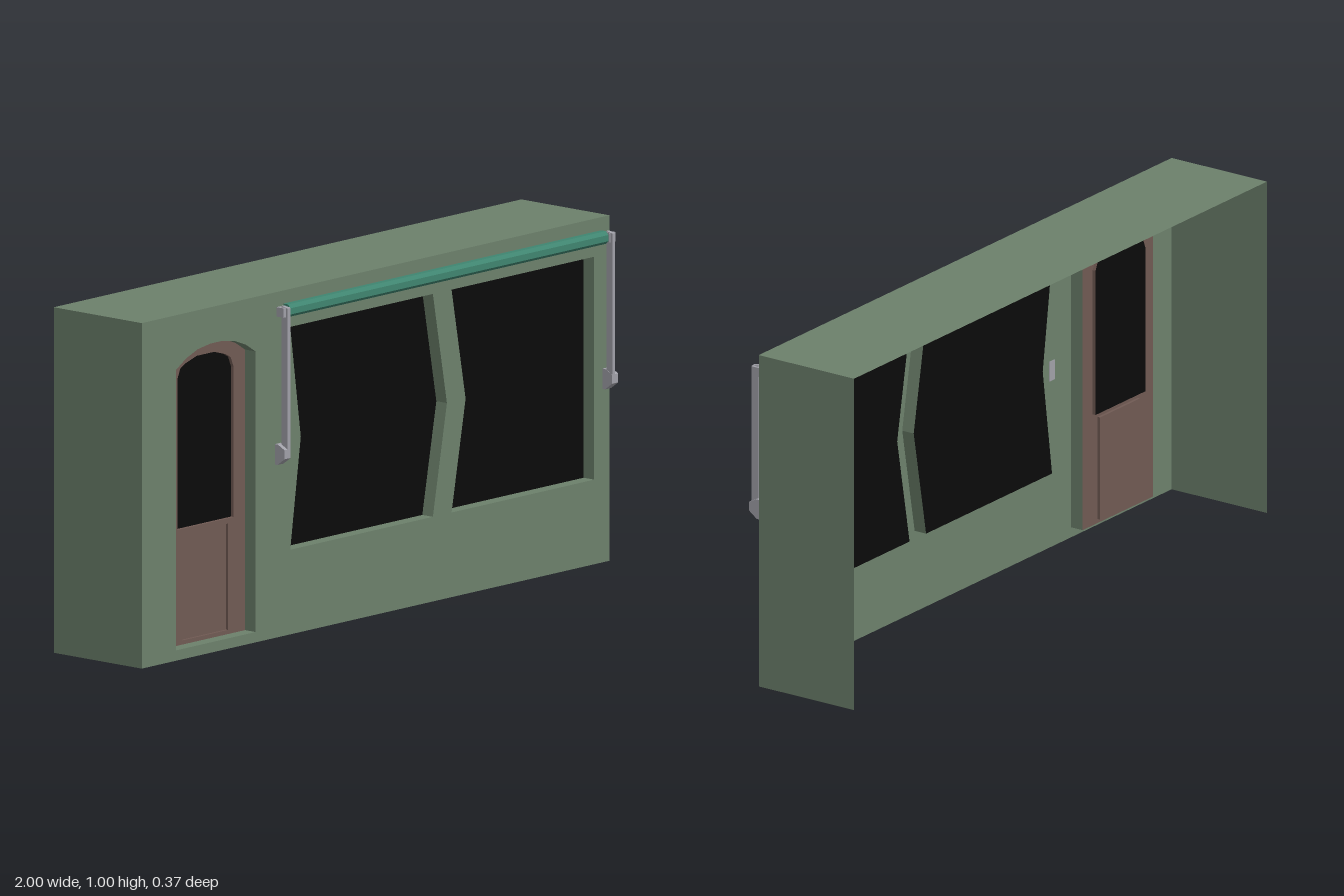
import * as THREE from 'three';

const FRONT = 0.148, BACK = -0.185, RECESS = 0.04;
const mat = (color) => new THREE.MeshStandardMaterial({ color, side: THREE.DoubleSide, flatShading: true });
const shapeOf = (pts) => new THREE.Shape(pts.map(([x, y]) => new THREE.Vector2(x, y)));
const rect = (x0, x1, y0, y1) => [[x0, y0], [x1, y0], [x1, y1], [x0, y1]];

function add(parent, name, geometry, material) {
  const mesh = new THREE.Mesh(geometry, material);
  mesh.name = name;
  parent.add(mesh);
  return mesh;
}

// Flat sheet facing +z, optionally pierced by outlines
function sheet(pts, z, holes = []) {
  const shape = shapeOf(pts);
  holes.forEach((h) => shape.holes.push(shapeOf(h)));
  return new THREE.ShapeGeometry(shape).translate(0, 0, z);
}

// Band of side faces joining an outline at z0 to the same outline at z1
function reveal(pts, z0, z1) {
  const pos = [];
  pts.forEach(([ax, ay], i) => {
    const [bx, by] = pts[(i + 1) % pts.length];
    pos.push(ax, ay, z0, ax, ay, z1, bx, by, z1, ax, ay, z0, bx, by, z1, bx, by, z0);
  });
  const g = new THREE.BufferGeometry();
  g.setAttribute('position', new THREE.Float32BufferAttribute(pos, 3));
  g.computeVertexNormals();
  return g;
}

// Solid with a [z, y] profile running along x
function bar(profile, x0, x1) {
  const shape = shapeOf(profile.map(([z, y]) => [-z, y]));
  return new THREE.ExtrudeGeometry(shape, { depth: x1 - x0, bevelEnabled: false })
    .rotateY(Math.PI / 2).translate(x0, 0, 0);
}

export function createModel() {
  const group = new THREE.Group();
  group.name = 'shopFront';
  const green = mat(0x6c806b), brown = mat(0x705a53), black = mat(0x0b0b0b);
  const teal = mat(0x3f8570), grey = mat(0xa0a0a8);

  // Outlines of the openings
  const windows = [
    [[-0.365, 0.245], [0.245, 0.245], [0.305, 0.565], [0.245, 0.89], [-0.365, 0.89], [-0.32, 0.565]],
    [[0.325, 0.245], [0.935, 0.245], [0.935, 0.89], [0.325, 0.89], [0.385, 0.565]],
  ];
  const doorway = [[-0.853, 0.03], [-0.513, 0.03], [-0.513, 0.842], [-0.555, 0.868], [-0.605, 0.887],
    [-0.66, 0.895], [-0.706, 0.895], [-0.761, 0.887], [-0.811, 0.868], [-0.853, 0.842]];
  const slot = rect(-0.395, 0.965, 0.926, 0.961);

  // Shell, open at the back and underneath
  add(group, 'frontWall', sheet(rect(-1, 1, 0, 1), FRONT, [...windows, doorway, slot]), green);
  const depth = FRONT - BACK, mid = (FRONT + BACK) / 2;
  add(group, 'roof', new THREE.PlaneGeometry(2, depth).rotateX(-Math.PI / 2).translate(0, 1, mid), green);
  for (const s of [-1, 1]) {
    add(group, s > 0 ? 'leftWall' : 'rightWall',
      new THREE.PlaneGeometry(depth, 1).rotateY(s * Math.PI / 2).translate(s, 0.5, mid), green);
  }

  // Recessed show windows
  windows.forEach((outline) => {
    add(group, 'windowReveal', reveal(outline, FRONT, FRONT - RECESS), green);
    add(group, 'windowPane', sheet(outline, FRONT - RECESS), black);
  });

  // Arched door with a glazed upper half and a sunken lower panel
  const door = new THREE.Group();
  door.name = 'door';
  group.add(door);
  const dz = FRONT - RECESS;
  const glass = [[-0.803, 0.365], [-0.562, 0.365], [-0.562, 0.8], [-0.575, 0.83], [-0.597, 0.842],
    [-0.645, 0.856], [-0.72, 0.856], [-0.768, 0.842], [-0.79, 0.83], [-0.803, 0.8]];
  const panel = rect(-0.78, -0.586, 0.042, 0.35);
  add(door, 'doorReveal', reveal(doorway, FRONT, dz), green);
  add(door, 'doorFrame', sheet(doorway, dz, [glass, panel]), brown);
  add(door, 'glassReveal', reveal(glass, dz, dz - 0.01), brown);
  add(door, 'doorGlass', sheet(glass, dz - 0.01), black);
  add(door, 'panelReveal', reveal(panel, dz, dz - 0.008), brown);
  add(door, 'lowerPanel', sheet(panel, dz - 0.008), brown);

  // Rolled awning set into its slot
  add(group, 'awningRoll', bar([[0.138, 0.925], [0.165, 0.925], [0.175, 0.934], [0.175, 0.952],
    [0.166, 0.962], [0.138, 0.962]], -0.395, 0.965), teal);

  // Folding arms, one at each end of the awning
  for (const x of [-0.418, 0.983]) {
    const arm = new THREE.Group();
    arm.name = 'awningArm';
    arm.position.x = x;
    group.add(arm);
    const inward = x < 0 ? 1 : -1;
    add(arm, 'armRod', bar([[0.162, 0.54], [0.185, 0.54], [0.185, 0.956], [0.162, 0.961]], -0.006, 0.006), grey)
      .position.x = inward * 0.006;
    add(arm, 'upperJoint', bar([[0.15, 0.93], [0.178, 0.93], [0.178, 0.957], [0.15, 0.957]], -0.013, 0.013), grey)
      .position.x = inward * 0.004;
    add(arm, 'lowerBracket', bar([[0.146, 0.502], [0.158, 0.502], [0.185, 0.522], [0.185, 0.548],
      [0.16, 0.561], [0.146, 0.561]], -0.013, 0.013), grey);
  }
  return group;
}
